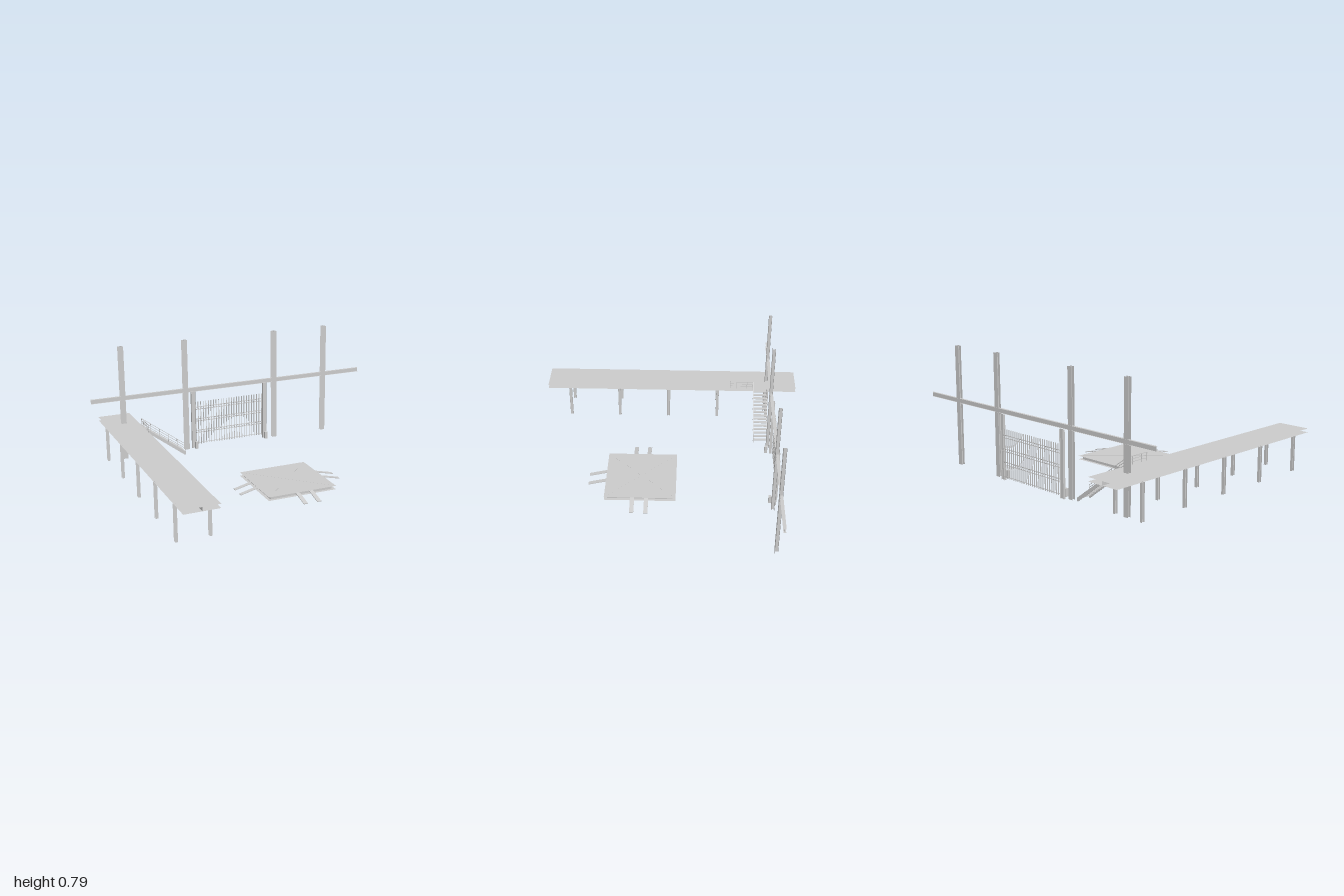
import * as THREE from 'three';
import { mergeGeometries } from 'three/addons/utils/BufferGeometryUtils.js';

const mat = new THREE.MeshStandardMaterial({ color: 0xcccccc, side: THREE.DoubleSide, flatShading: true });

function add(parent, name, parts) {
  const mesh = new THREE.Mesh(parts.length > 1 ? mergeGeometries(parts) : parts[0], mat);
  mesh.name = name;
  parent.add(mesh);
  return mesh;
}

// Box given by its limits on each axis
function box(x0, x1, y0, y1, z0, z1) {
  return new THREE.BoxGeometry(x1 - x0, y1 - y0, z1 - z0)
    .translate((x0 + x1) / 2, (y0 + y1) / 2, (z0 + z1) / 2);
}

// Thin-walled open I-section running along z, flanges at top and bottom
function iBeam(width, depth, length) {
  const flange = (y) => new THREE.PlaneGeometry(width, length).rotateX(-Math.PI / 2).translate(0, y, 0);
  const web = new THREE.PlaneGeometry(length, depth).rotateY(Math.PI / 2);
  return mergeGeometries([flange(depth / 2), flange(-depth / 2), web]);
}

// Upright I-section with its flanges facing front and back
function column(x, z, y0, y1, width, depth, turn = 0) {
  return iBeam(width, depth, y1 - y0).rotateX(Math.PI / 2).rotateY(turn).translate(x, (y0 + y1) / 2, z);
}

// Slim square bar between two points
function bar(a, b, t = 0.003) {
  const from = new THREE.Vector3(...a), to = new THREE.Vector3(...b);
  const dir = to.clone().sub(from);
  const g = new THREE.BoxGeometry(t, dir.length(), t);
  g.applyQuaternion(new THREE.Quaternion().setFromUnitVectors(new THREE.Vector3(0, 1, 0), dir.normalize()));
  return g.translate(...from.add(to).multiplyScalar(0.5).toArray());
}

function buildGantry(root) {
  const g = new THREE.Group();
  g.name = 'gantry';
  [-0.785, -0.343, 0.32, 0.71].forEach((x) =>
    add(g, 'tallPost', [column(x, -0.67, 0.01, 0.79, 0.035, 0.02)]));
  add(g, 'crossBeam', [iBeam(0.016, 0.028, 2).rotateY(Math.PI / 2).translate(0, 0.435, -0.674)]);
  root.add(g);
}

function buildGate(root) {
  const g = new THREE.Group();
  g.name = 'gate';
  for (const [x, footX] of [[-0.283, -0.277], [0.255, 0.251]]) {
    add(g, 'gatePost', [column(x, -0.687, 0.005, 0.42, 0.016, 0.03, Math.PI / 2)]);
    add(g, 'gateFoot', [box(footX - 0.009, footX + 0.009, 0.01, 0.06, -0.665, -0.645)]);
  }
  // Upright pickets
  const count = 27, x0 = -0.262, step = 0.5 / (count - 1), z = -0.7;
  const pickets = [], rails = [], rings = [];
  for (let i = 0; i < count; i++) {
    const x = x0 + i * step;
    pickets.push(bar([x, 0.025, z], [x, 0.335, z], 0.0045));
  }
  // Paired rails with a row of rings between them
  for (const y of [0.288, 0.202, 0.118]) {
    for (const s of [-1, 1]) rails.push(bar([-0.275, y + s * 0.009, z], [0.245, y + s * 0.009, z]));
    for (let i = 0; i < count - 1; i++) {
      rings.push(new THREE.TorusGeometry(0.0075, 0.0012, 4, 10).translate(x0 + (i + 0.5) * step, y, z));
    }
  }
  rails.push(bar([-0.275, 0.035, z], [0.245, 0.035, z]));
  add(g, 'pickets', pickets);
  add(g, 'gateRails', rails);
  add(g, 'gateRings', rings);
  root.add(g);
}

function buildWalkway(root) {
  const g = new THREE.Group();
  g.name = 'walkway';
  add(g, 'deck', [iBeam(0.218, 0.025, 1.744).translate(-0.797, 0.248, 0)]);
  for (let i = 0; i < 5; i++) {
    for (const x of [-0.9, -0.697]) {
      add(g, 'deckPost', [column(x, 0.717 - i * 0.3475, 0.01, 0.236, 0.018, 0.018)]);
    }
  }
  // Guard rail along the deck edge
  const x = -0.69, rail = [];
  for (const y of [0.277, 0.294, 0.31]) rail.push(bar([x, y, -0.413], [x, y, -0.572]));
  for (const z of [-0.413, -0.458, -0.53, -0.572]) rail.push(bar([x, 0.258, z], [x, 0.31, z]));
  add(g, 'deckRail', rail);
  root.add(g);
}

function buildStairs(root) {
  const g = new THREE.Group();
  g.name = 'stairs';
  const xTop = -0.69, xEnd = -0.386, zFront = -0.573, zBack = -0.67;
  const lineY = (x) => 0.255 + (x - xTop) * (0.03 - 0.255) / (xEnd - xTop);
  // Sloping side boards
  const side = new THREE.Shape([
    [xTop, 0.255], [xEnd, 0.03], [xEnd, 0.01], [xEnd - 0.01, 0.01], [xTop, 0.233],
  ].map((p) => new THREE.Vector2(...p)));
  for (const z of [zFront - 0.003, zBack]) {
    add(g, 'stringer', [new THREE.ExtrudeGeometry(side, { depth: 0.003, bevelEnabled: false }).translate(0, 0, z)]);
  }
  // Treads
  const treads = [], n = 15, run = (xEnd - xTop) / n;
  for (let i = 0; i < n; i++) {
    const x = xTop + i * run, y = lineY(x + run / 2) - 0.008;
    treads.push(box(x, x + run, y - 0.002, y + 0.002, zBack, zFront));
  }
  add(g, 'treads', treads);
  // Handrail
  const rail = [];
  for (const h of [0.022, 0.039, 0.055]) {
    rail.push(bar([xTop, lineY(xTop) + h, zFront], [xEnd, lineY(xEnd) + h, zFront]));
  }
  for (let i = 0; i < 6; i++) {
    const x = xTop + (xEnd - xTop) * i / 5;
    rail.push(bar([x, lineY(x) - 0.005, zFront], [x, lineY(x) + 0.055, zFront]));
  }
  add(g, 'handrail', rail);
  root.add(g);
}

function buildPlatform(root) {
  const g = new THREE.Group();
  g.name = 'platform';
  const w = 0.46, h = w / 2, cx = 0.03, cz = 0.178, y0 = 0.01, y1 = 0.033, inset = 0.02;
  const flat = (geo, y) => geo.rotateX(-Math.PI / 2).translate(0, y, 0);
  add(g, 'platformTop', [flat(new THREE.PlaneGeometry(w, w), y1)]);
  // Lower flange frame
  const square = (s) => [[-s, -s], [s, -s], [s, s], [-s, s]].map((p) => new THREE.Vector2(...p));
  const frame = new THREE.Shape(square(h));
  frame.holes.push(new THREE.Path(square(h - 2 * inset).reverse()));
  add(g, 'lowerFrame', [flat(new THREE.ShapeGeometry(frame), y0)]);
  // Recessed webs and mitre ribs
  const webs = [], ribs = [];
  for (let i = 0; i < 4; i++) {
    const a = i * Math.PI / 2;
    webs.push(new THREE.PlaneGeometry(w - 2 * inset, y1 - y0)
      .translate(0, (y0 + y1) / 2, h - inset).rotateY(a));
    ribs.push(new THREE.BoxGeometry(0.003, 0.001, (h - inset) * Math.SQRT2)
      .translate(0, y1, (h - inset) * Math.SQRT1_2).rotateY(a + Math.PI / 4));
  }
  add(g, 'platformWebs', webs);
  add(g, 'mitreRibs', ribs);
  // Pairs of sloping ramps on three sides
  const fall = 0.028, reach = 0.115;
  for (const [turn, offsets] of [
    [0, [-0.036, 0.055]], [Math.PI / 2, [-0.048, 0.042]], [-Math.PI / 2, [-0.042, 0.048]],
  ]) {
    for (const o of offsets) {
      const ramp = new THREE.BoxGeometry(0.027, 0.004, Math.hypot(fall, reach))
        .rotateX(Math.atan2(fall, reach))
        .translate(o, y1 - fall / 2 - 0.002, h + reach / 2)
        .rotateY(turn);
      add(g, 'ramp', [ramp]);
    }
  }
  g.position.set(cx, 0, cz);
  root.add(g);
}

export function createModel() {
  const root = new THREE.Group();
  root.name = 'yardStructures';
  buildGantry(root);
  buildGate(root);
  buildWalkway(root);
  buildStairs(root);
  buildPlatform(root);
  return root;
}
